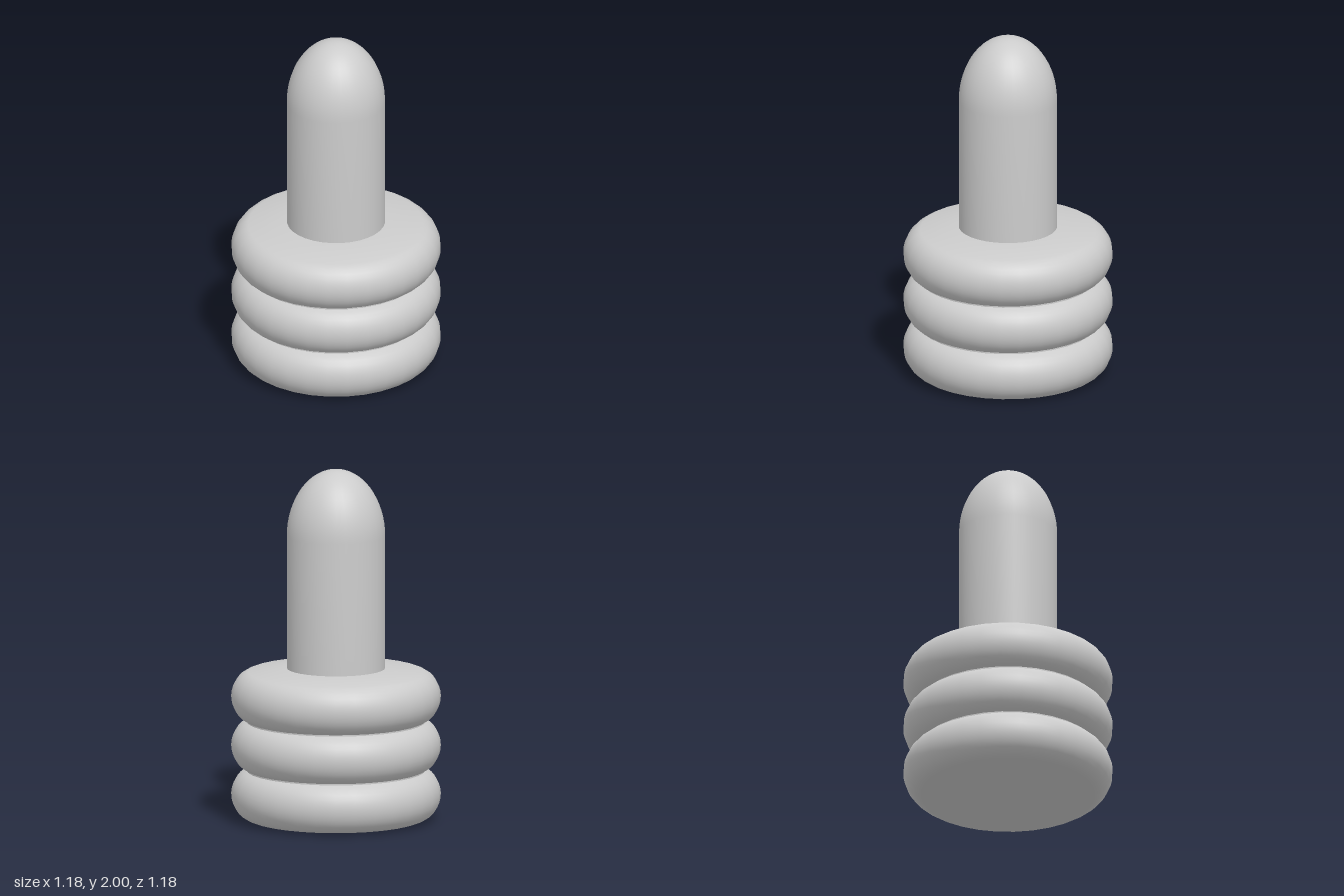
import * as THREE from 'three';
import { toCreasedNormals } from 'three/addons/utils/BufferGeometryUtils.js';

const SEGMENTS = 32;
const material = new THREE.MeshStandardMaterial({ color: 0xcccccc });

// Revolve a list of [radius, height] pairs, running from bottom to top
function lathe(name, points, crease) {
  const profile = points.map(([r, y]) => new THREE.Vector2(Math.max(r, 0), y));
  const geometry = toCreasedNormals(new THREE.LatheGeometry(profile, SEGMENTS), crease);
  const mesh = new THREE.Mesh(geometry, material);
  mesh.name = name;
  return mesh;
}

// Points on an elliptical arc in the profile plane
function arc(cx, cy, rx, ry, from, to, steps) {
  return Array.from({ length: steps + 1 }, (_, i) => {
    const a = from + ((to - from) * i) / steps;
    return [cx + rx * Math.cos(a), cy + ry * Math.sin(a)];
  });
}

export function createModel() {
  const group = new THREE.Group();
  group.name = 'ribbedPeg';

  // Base: three stacked bulging rings with pinched grooves between them
  const base = [[0, 0], [0.11, 0.001]];
  const grooveAngle = 1.27;
  [0.147, 0.426, 0.705].forEach((y, i) => {
    const start = i === 0 ? -Math.PI / 2 : -grooveAngle;
    const end = i === 2 ? 1.35 : grooveAngle;
    base.push(...arc(0.468, y, 0.122, 0.142, start, end, 14));
  });
  // Shallow conical top
  base.push([0.27, 0.866], [0, 0.867]);
  group.add(lathe('ribbedBase', base, 0.6));

  // Rod: straight shaft ending in an elongated dome
  const rod = [[0.277, 0.84], ...arc(0, 1.62, 0.277, 0.38, 0, Math.PI / 2, 16)];
  group.add(lathe('domedRod', rod, 0.8));

  return group;
}
